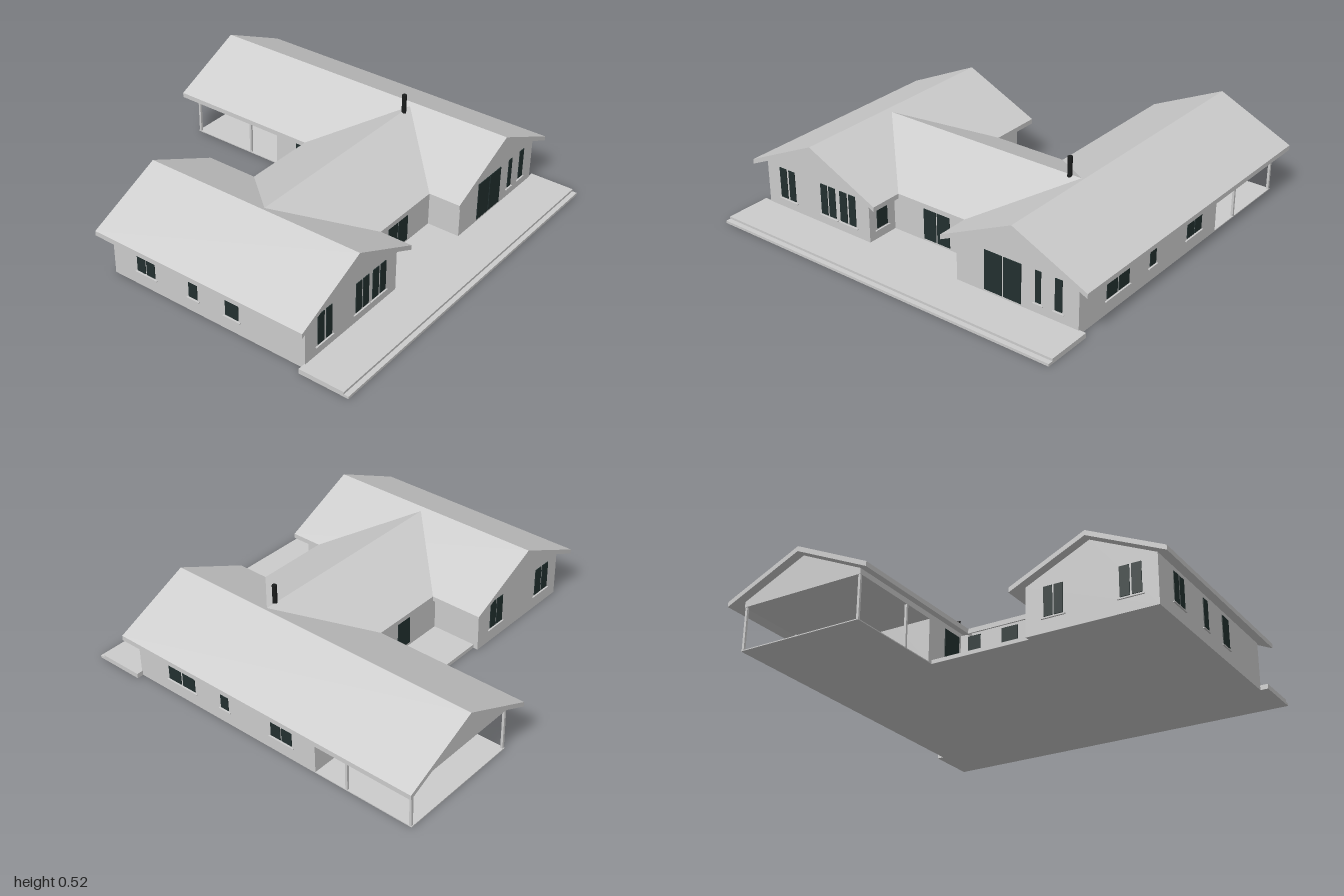
import * as THREE from 'three';

export function createModel() {
  const house = new THREE.Group();
  house.name = 'house';
  const plaster = new THREE.MeshStandardMaterial({ color: 0xcccccc });
  plaster.name = 'light grey';
  const glass = new THREE.MeshStandardMaterial({ color: 0x22302f });
  glass.name = 'dark glass';
  const metal = new THREE.MeshStandardMaterial({ color: 0x1a1c1c });
  metal.name = 'black metal';

  const add = (name, geo, mat = plaster) => {
    const m = new THREE.Mesh(geo, mat);
    m.name = name;
    house.add(m);
    return m;
  };
  // Box given by its limits on each axis
  const box = (name, x0, x1, y0, y1, z0, z1, mat) =>
    add(name, new THREE.BoxGeometry(x1 - x0, y1 - y0, z1 - z0)
      .translate((x0 + x1) / 2, (y0 + y1) / 2, (z0 + z1) / 2), mat);
  // Outline in x and y, extruded from z0 to z1
  const prism = (name, pts, cx, z0, z1) => {
    const shape = new THREE.Shape(pts.map(([x, y]) => new THREE.Vector2(x + cx, y)));
    const geo = new THREE.ExtrudeGeometry(shape, { depth: z1 - z0, bevelEnabled: false });
    return add(name, geo.translate(0, 0, z0));
  };

  // Wings: gabled walls and pitched roof slabs
  const walls = [[-0.335, 0], [0.335, 0], [0.335, 0.253], [0, 0.408], [-0.335, 0.253]];
  const roof = [[-0.4, 0.225], [0, 0.41], [0.4, 0.225], [0.4, 0.25], [0, 0.436], [-0.4, 0.25]];
  prism('leftWingWalls', walls, -0.6, -0.4, 0.725);
  prism('rightWingWalls', walls, 0.6, -0.4, 0.725);
  prism('leftWingRoof', roof, -0.6, -0.445, 0.76);
  prism('rightWingRoof', roof, 0.6, -0.99, 0.76);

  // Carport: gable with flat ceiling, posts and floor
  prism('carportGable', [[-0.335, 0.225], [0.335, 0.225], [0.335, 0.253], [0, 0.408], [-0.335, 0.253]],
    0.6, -0.945, -0.4);
  box('carportFloor', 0.265, 0.935, 0, 0.005, -0.945, -0.4);
  for (const x of [0.272, 0.928])
    for (const z of [-0.58, -0.936])
      box('carportPost', x - 0.006, x + 0.006, 0.005, 0.226, z - 0.006, z + 0.006);

  // Middle block and its hexagonal pitched roof
  box('middleWalls', -0.266, 0.266, 0, 0.24, -0.13, 0.55);
  const top = [[-0.2, 0.25, 0.59], [0.2, 0.25, 0.59], [0.575, 0.425, 0.212],
    [0.2, 0.25, -0.165], [-0.2, 0.25, -0.165], [-0.575, 0.425, 0.212]];
  const verts = [...top, ...top.map(([x, y, z]) => [x, y - 0.025, z])];
  const quads = [[0, 1, 2, 5], [5, 2, 3, 4], [6, 11, 8, 7], [11, 10, 9, 8], [6, 7, 1, 0], [9, 10, 4, 3]];
  const pos = [];
  for (const [a, b, c, d] of quads)
    for (const i of [a, b, c, a, c, d]) pos.push(...verts[i]);
  const middleRoof = new THREE.BufferGeometry();
  middleRoof.setAttribute('position', new THREE.Float32BufferAttribute(pos, 3));
  middleRoof.computeVertexNormals();
  add('middleRoof', middleRoof);

  // Terraces
  box('frontTerrace', -0.975, 0.97, 0, 0.025, 0.72, 0.96);
  box('frontStep', -0.975, 0.97, 0, 0.013, 0.96, 0.985);
  box('entryPorch', -0.266, 0.266, 0, 0.025, 0.545, 0.725);
  box('backPatio', -0.266, 0.266, 0, 0.02, -0.375, -0.125);

  // Stove pipe
  add('chimney', new THREE.CylinderGeometry(0.012, 0.012, 0.14, 16).translate(0.514, 0.45, 0.217), metal);

  // Openings: span [a, b] along a wall; axis and sign give the way it faces
  const opening = (axis, sign, at, a, b, y0, y1) => {
    const plate = (name, s0, s1, h0, h1, out, mat) => {
      const [d0, d1] = sign > 0 ? [at, at + out] : [at - out, at];
      if (axis === 'z') box(name, s0, s1, h0, h1, d0, d1, mat);
      else box(name, d0, d1, h0, h1, s0, s1, mat);
    };
    plate(y0 < 0.05 ? 'door' : 'window', a, b, y0, y1, 0.004, glass);
    if (y0 > 0.05) plate('windowSill', a - 0.012, b + 0.012, y0 - 0.012, y0 - 0.007, 0.008, plaster);
  };
  const row = (axis, sign, at, y0, y1, spans) =>
    spans.forEach(([a, b]) => opening(axis, sign, at, a, b, y0, y1));

  // Front faces
  row('z', 1, 0.725, 0.08, 0.24, [[-0.85, -0.805], [-0.79, -0.75], [-0.575, -0.533], [-0.522, -0.48],
    [-0.45, -0.405], [-0.392, -0.35], [0.705, 0.735], [0.81, 0.848]]);
  row('z', 1, 0.725, 0.037, 0.24, [[0.425, 0.523], [0.53, 0.628]]);
  row('z', 1, 0.55, 0.037, 0.225, [[-0.078, -0.005], [0.003, 0.078]]);
  // Outer sides
  row('x', 1, 0.935, 0.08, 0.228, [[0.44, 0.52], [0.348, 0.428], [0.13, 0.178],
    [-0.195, -0.137], [-0.263, -0.203]]);
  row('x', -1, -0.935, 0.08, 0.228, [[-0.25, -0.2], [-0.192, -0.142], [0.065, 0.115], [0.28, 0.355]]);
  // Back faces
  row('z', -1, -0.4, 0.08, 0.23, [[-0.46, -0.413], [-0.405, -0.36], [-0.855, -0.805], [-0.795, -0.745]]);
  row('z', -1, -0.13, 0.08, 0.225, [[0.15, 0.22]]);
  row('z', -1, -0.13, 0.037, 0.225, [[-0.06, 0.03]]);
  // Inner sides
  row('x', 1, -0.265, 0.08, 0.225, [[0.605, 0.675]]);
  row('x', -1, 0.265, 0.037, 0.225, [[-0.27, -0.15]]);

  return house;
}
